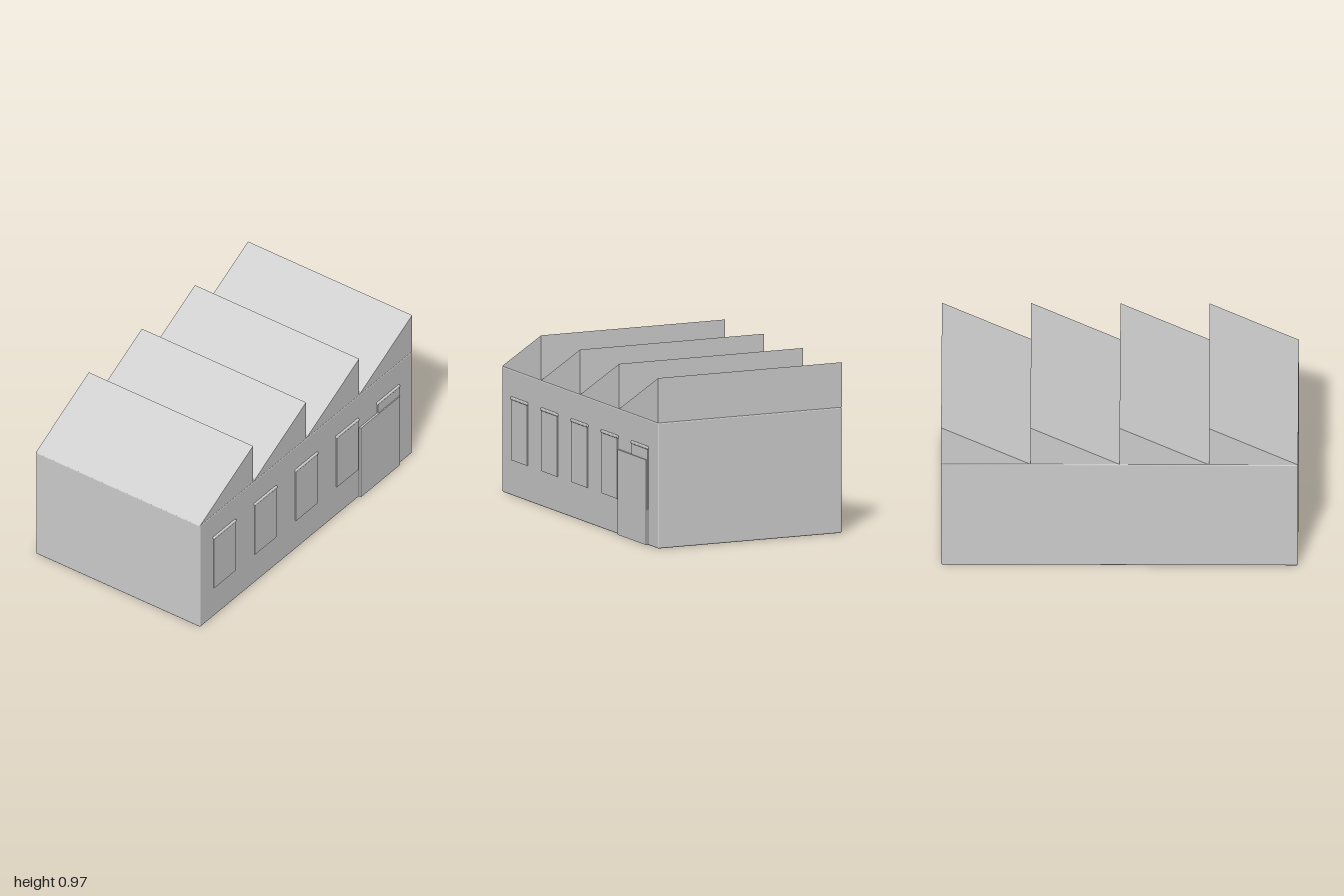
import * as THREE from 'three';
import { RoundedBoxGeometry } from 'three/addons/geometries/RoundedBoxGeometry.js';

const BACK = -0.578, FRONT = 0.566, WALL = 0.716, PEAK = 0.972;

export function createModel() {
  const group = new THREE.Group();
  const grey = new THREE.MeshStandardMaterial({ color: 0xcccccc });
  grey.name = 'plain grey';

  const add = (name, geometry, x = 0, y = 0, z = 0) => {
    const mesh = new THREE.Mesh(geometry, grey);
    mesh.name = name;
    mesh.position.set(x, y, z);
    group.add(mesh);
  };

  // Main hall with slightly softened edges
  const depth = FRONT - BACK;
  add('hall', new RoundedBoxGeometry(2, WALL, depth, 2, 0.008), 0, WALL / 2, (FRONT + BACK) / 2);

  // Sawtooth roof: four wedges, upright on their +x side
  const tooth = new THREE.Shape();
  tooth.moveTo(0, 0);
  tooth.lineTo(0.5, 0);
  tooth.lineTo(0.5, PEAK - WALL);
  tooth.closePath();
  const toothGeometry = new THREE.ExtrudeGeometry(tooth, { depth, bevelEnabled: false });
  for (let i = 0; i < 4; i++) add('roofTooth' + (i + 1), toothGeometry, -1 + i * 0.5, WALL, BACK);

  // Front windows, each a thin panel under a rounded lintel
  const panel = new THREE.BoxGeometry(0.203, 0.35, 0.012);
  const lintel = new RoundedBoxGeometry(0.212, 0.017, 0.02, 2, 0.006);
  for (let i = 0; i < 5; i++) {
    const x = -0.773 + i * 0.386;
    add('window' + (i + 1), panel, x, 0.377, FRONT);
    add('lintel' + (i + 1), lintel, x, 0.554, FRONT + 0.001);
  }

  // Loading door covering most of the last window
  add('door', new THREE.BoxGeometry(0.37, 0.485, 0.02), 0.685, 0.2435, FRONT + 0.002);

  return group;
}
